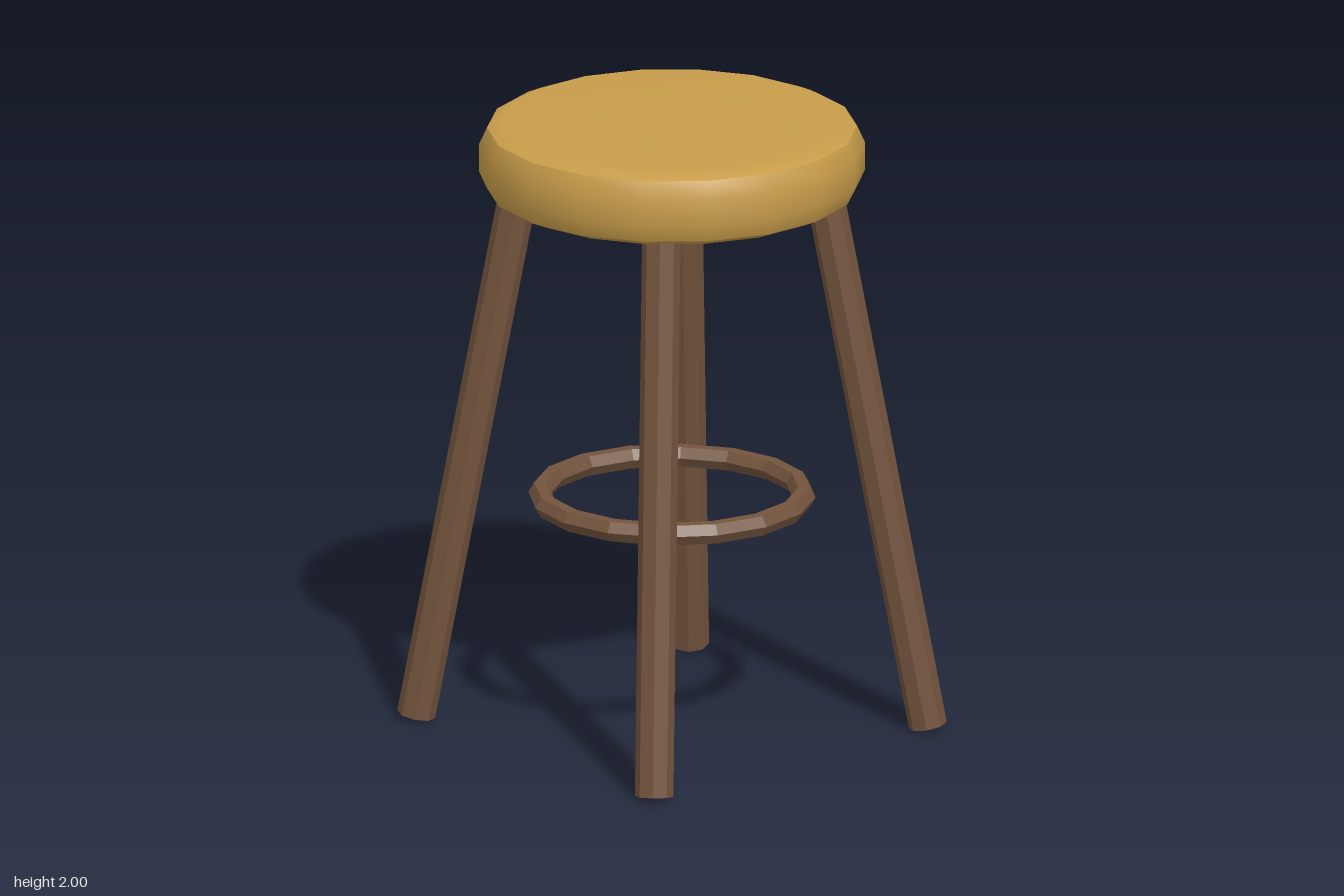
import * as THREE from 'three';

export function createModel() {
  const stool = new THREE.Group();
  stool.name = 'stool';
  const cushion = new THREE.MeshStandardMaterial({ color: 0xc89d4a });
  const wood = new THREE.MeshStandardMaterial({ color: 0x73543d, flatShading: true });

  // Seat: three lathed bands, smooth within each and creased where they meet
  const seat = new THREE.Group();
  seat.name = 'seat';
  const bands = {
    seatBottom: [[0, 1.75], [0.53, 1.75], [0.585, 1.775]],
    seatSide: [[0.585, 1.775], [0.61, 1.83], [0.61, 1.92], [0.585, 1.975]],
    seatTop: [[0.585, 1.975], [0.53, 2], [0, 2]],
  };
  for (const [name, profile] of Object.entries(bands)) {
    const points = profile.map(([r, y]) => new THREE.Vector2(r, y));
    const band = new THREE.Mesh(new THREE.LatheGeometry(points, 18, Math.PI / 2), cushion);
    band.name = name;
    seat.add(band);
  }
  stool.add(seat);

  // Four splayed eight-sided legs on the diagonals
  const up = new THREE.Vector3(0, 1, 0);
  for (const [end, sz] of [['front', 1], ['back', -1]]) {
    for (const [side, sx] of [['Left', 1], ['Right', -1]]) {
      const foot = new THREE.Vector3(0.573 * sx, 0.011, 0.573 * sz);
      const top = new THREE.Vector3(0.344 * sx, 1.75, 0.344 * sz);
      const axis = top.clone().sub(foot);
      const leg = new THREE.Mesh(new THREE.CylinderGeometry(0.061, 0.061, axis.length(), 8), wood);
      leg.name = `${end}${side}Leg`;
      leg.position.copy(foot).add(top).multiplyScalar(0.5);
      leg.quaternion.setFromUnitVectors(up, axis.normalize());
      stool.add(leg);
    }
  }

  // Foot ring set inside the legs
  const ring = new THREE.Mesh(new THREE.TorusGeometry(0.418, 0.037, 6, 16), wood);
  ring.name = 'footRing';
  ring.rotation.x = Math.PI / 2;
  ring.position.y = 0.756;
  stool.add(ring);

  return stool;
}
